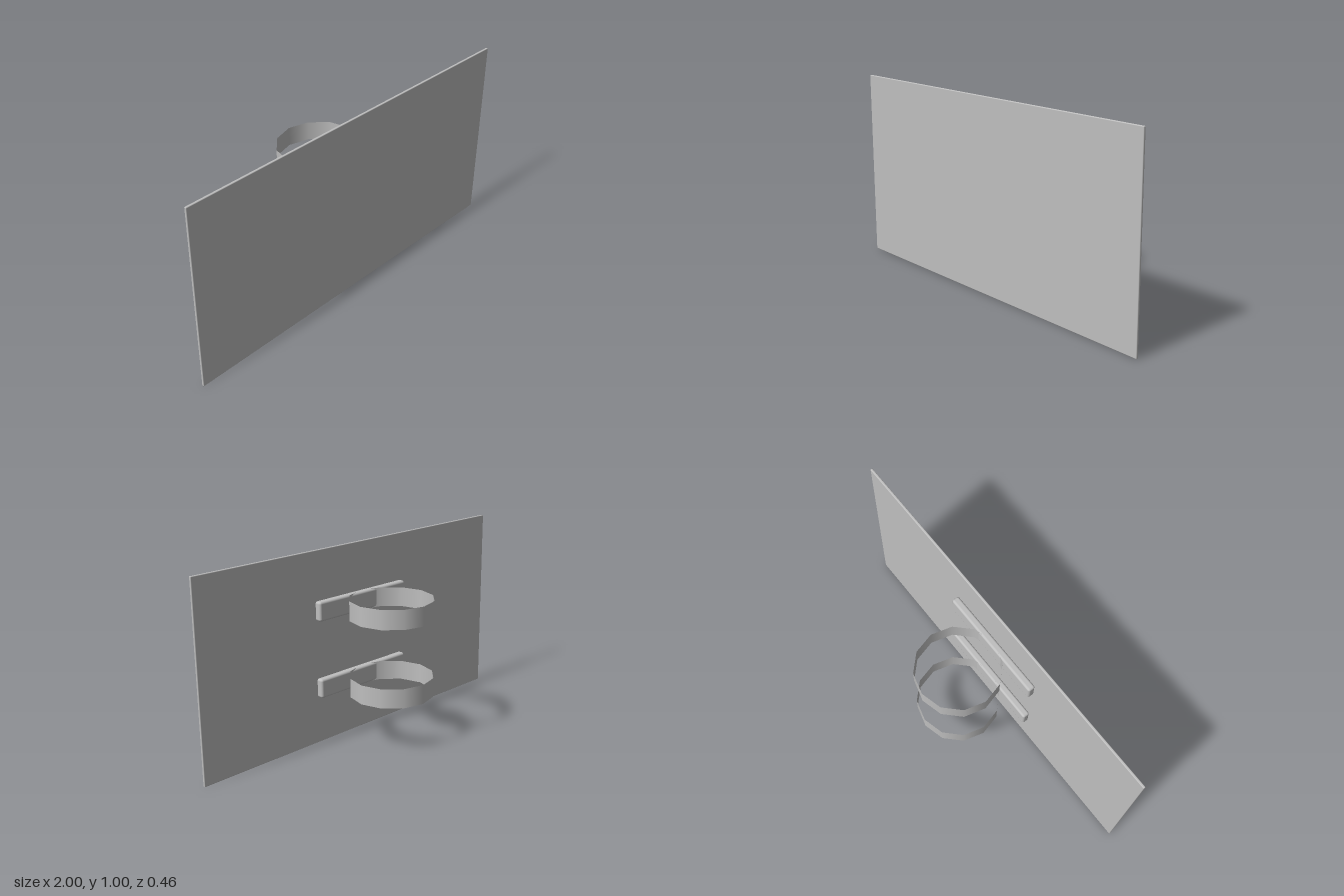
import * as THREE from 'three';
import { RoundedBoxGeometry } from 'three/addons/geometries/RoundedBoxGeometry.js';

export function createModel() {
  const model = new THREE.Group();
  const metal = new THREE.MeshStandardMaterial({ color: 0xbfbfbf, side: THREE.DoubleSide });
  metal.name = 'grey metal';

  const add = (name, geometry, y, z) => {
    const mesh = new THREE.Mesh(geometry, metal);
    mesh.name = name;
    mesh.position.set(0, y, z);
    model.add(mesh);
  };

  // Flat sign panel with softened edges
  add('panel', new RoundedBoxGeometry(2, 1, 0.012, 2, 0.004), 0.5, 0.224);

  // Two mounting bars, each with an open pole clamp ring behind it
  const radius = 0.215;
  const bar = new RoundedBoxGeometry(0.6, 0.1, 0.04, 3, 0.012);
  const ring = new THREE.CylinderGeometry(radius, radius, 0.1, 12, 1, true);
  for (const [level, y] of [['lower', 0.3], ['upper', 0.7]]) {
    add(level + 'Bar', bar, y, 0.197);
    add(level + 'ClampRing', ring, y, -0.23 + radius);
  }
  return model;
}
